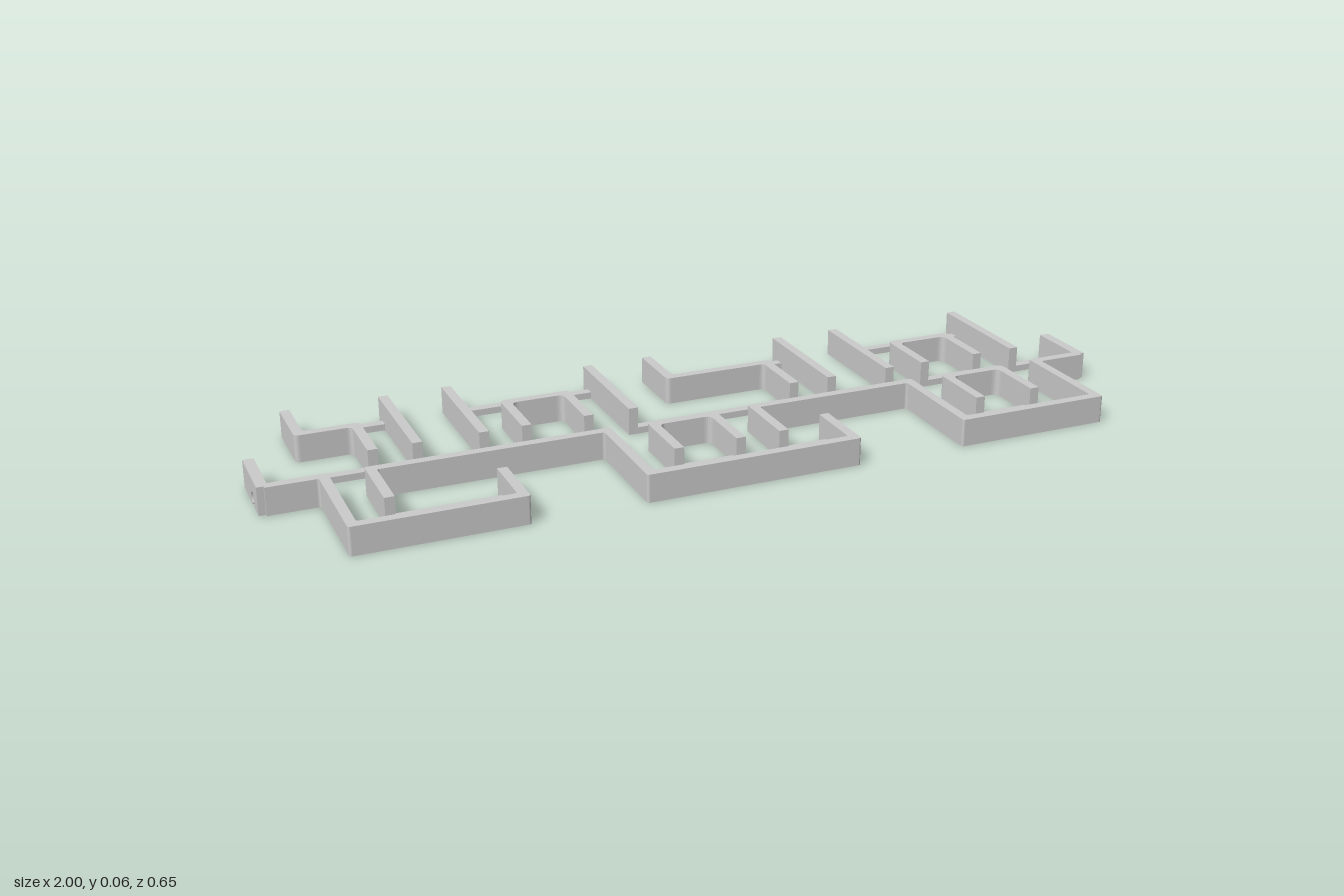
import * as THREE from 'three';

const H = 0.063; // wall height
const T = 0.022; // wall thickness
const ROD = 0.015; // height of the low rails

const material = new THREE.MeshStandardMaterial({ color: 0xcccccc });

// Outline of a thick polyline in plan, with softened corners
function strokeShape(pts, round) {
  const v = pts.map(([x, z]) => new THREE.Vector2(x, -z));
  const side = (s) => v.map((p, i) => {
    const a = i > 0 ? p.clone().sub(v[i - 1]).normalize() : null;
    const b = i < v.length - 1 ? v[i + 1].clone().sub(p).normalize() : null;
    const out = p.clone();
    for (const d of a && b ? [a, b] : [a || b]) {
      out.x -= d.y * s * T / 2;
      out.y += d.x * s * T / 2;
    }
    return out;
  });
  const left = side(1), right = side(-1).reverse();
  const shape = new THREE.Shape();
  const trace = (line, start) => line.forEach((p, i) => {
    if (i === 0 && start) return shape.moveTo(p.x, p.y);
    if (i === 0 || i === line.length - 1) return shape.lineTo(p.x, p.y);
    const a = line[i - 1].clone().sub(p).setLength(round).add(p);
    const b = line[i + 1].clone().sub(p).setLength(round).add(p);
    shape.lineTo(a.x, a.y);
    shape.quadraticCurveTo(p.x, p.y, b.x, b.y);
  });
  trace(left, true);
  trace(right, false);
  shape.closePath();
  return shape;
}

function extrude(shape, depth) {
  return new THREE.ExtrudeGeometry(shape, { depth, bevelEnabled: false, curveSegments: 6 });
}

function wall(group, name, pts, round = 0.006) {
  const mesh = new THREE.Mesh(extrude(strokeShape(pts, round), H).rotateX(-Math.PI / 2), material);
  mesh.name = name;
  group.add(mesh);
}

// Low rail running along x
function rail(group, name, x0, x1, z) {
  const mesh = new THREE.Mesh(new THREE.BoxGeometry(x1 - x0, ROD, T), material);
  mesh.position.set((x0 + x1) / 2, ROD / 2, z);
  mesh.name = name;
  group.add(mesh);
}

// Cross plate at an end, with arched openings along its bottom edge
function endPlate(group, name, x, arches) {
  const s = new THREE.Shape();
  s.moveTo(-0.07, H);
  s.lineTo(-0.07, 0);
  for (const [z, y, r, foot] of arches) {
    s.lineTo(-z - foot, 0);
    const a = Math.atan2(-y, foot);
    s.absarc(-z, y, r, Math.PI - a, a, true);
    s.lineTo(-z + foot, 0);
  }
  s.lineTo(0.083, 0);
  s.lineTo(0.083, H);
  s.closePath();
  const mesh = new THREE.Mesh(extrude(s, 0.024).rotateY(Math.PI / 2), material);
  mesh.position.x = x;
  mesh.name = name;
  group.add(mesh);
}

export function createModel() {
  const model = new THREE.Group();
  model.name = 'mazeFrame';
  const FRONT = 0.315, MID = 0.066, BACK = -0.325, CROSS = -0.04, INNER = -0.18, SHELF = 0.21;

  // Front walls: outer bays joined by corridor walls
  wall(model, 'frontWallLeftEnd', [[-0.985, MID], [-0.863, MID], [-0.863, FRONT], [-0.515, FRONT], [-0.515, 0.17]]);
  wall(model, 'frontWallMiddle', [[-0.765, SHELF + 0.011], [-0.765, MID], [-0.243, MID], [-0.243, FRONT], [0.23, FRONT], [0.23, 0.17]]);
  wall(model, 'frontWallRight', [[0.107, SHELF + 0.011], [0.107, MID], [0.505, MID], [0.505, FRONT], [0.85, FRONT], [0.85, MID], [0.975, MID]]);

  // Rails closing the front hooks
  rail(model, 'frontHookRail', -0.765, -0.515, SHELF);
  rail(model, 'frontHookRail', 0.107, 0.23, SHELF);

  // Square cells: three tall sides and one low rail
  const cells = [[-0.323, INNER, CROSS], [0.675, INNER, CROSS], [-0.067, MID + 0.005, SHELF], [0.675, MID + 0.005, SHELF]];
  for (const [x, zBack, zFront] of cells) {
    const w = 0.072;
    wall(model, 'cellWall', [[x - w, zFront + 0.011], [x - w, zBack], [x + w, zBack], [x + w, zFront + 0.011]], 0.016);
    rail(model, 'cellRail', x - w, x + w, zFront);
  }

  // Straight back walls
  for (const x of [-0.64, -0.492, -0.145, 0.353, 0.507, 0.85]) {
    wall(model, 'backWall', [[x, BACK], [x, CROSS + 0.011]]);
  }
  // Stepped back walls
  for (const [x0, x1] of [[-0.863, -0.737], [0.005, 0.255]]) {
    wall(model, 'steppedBackWall', [[x0, BACK], [x0, INNER], [x1, INNER], [x1, CROSS + 0.011]], 0.012);
  }

  // Rails between the back walls
  for (const [a, b] of [[-0.863, -0.64], [-0.492, -0.145], [0.005, 0.353], [0.507, 0.85]]) {
    rail(model, 'backRail', a, b, -0.285);
  }
  for (const [a, b] of [[-0.985, -0.737], [-0.64, -0.492], [-0.145, 0.255], [0.353, 0.507], [0.85, 0.962]]) {
    rail(model, 'corridorRail', a, b, CROSS);
  }

  // End plates with cable openings
  endPlate(model, 'rightEndPlate', -1, [[0.015, 0.015, 0.016, 0.011]]);
  endPlate(model, 'leftEndPlate', 0.962, [[0.015, 0.015, 0.016, 0.011], [-0.034, 0.001, 0.0135, 0.0134]]);

  // Open collar around the opening of the left end
  const ring = new THREE.Shape();
  ring.absarc(0, 0, 0.019, -0.9, Math.PI + 0.9, false);
  ring.absarc(0, 0, 0.016, Math.PI + 0.9, -0.9, true);
  ring.closePath();
  const collar = new THREE.Mesh(extrude(ring, 0.02).rotateY(Math.PI / 2), material);
  collar.position.set(0.98, 0.015, 0.015);
  collar.name = 'cableCollar';
  model.add(collar);

  return model;
}
